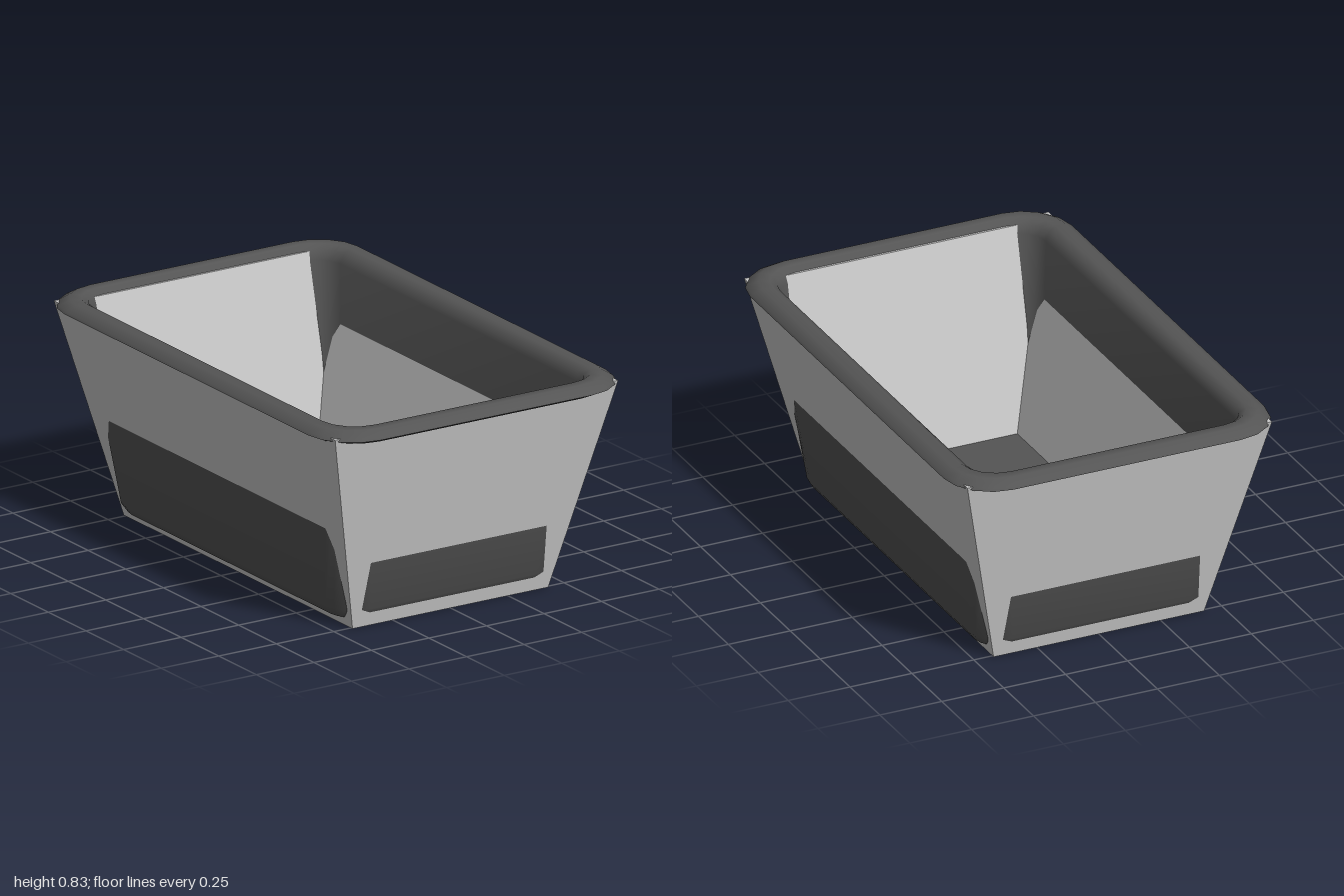
import * as THREE from 'three';
import { toCreasedNormals } from 'three/addons/utils/BufferGeometryUtils.js';

// Closed loop of points round a rectangle with rounded corners
function ring([hx, hz, y, r], segs) {
  const pts = [];
  const corners = [[1, 1], [-1, 1], [-1, -1], [1, -1]];
  corners.forEach(([sx, sz], k) => {
    for (let s = 0; s <= segs; s++) {
      const a = (k + (segs ? s / segs : 0)) * Math.PI / 2;
      pts.push(sx * (hx - r) + r * Math.cos(a), y, sz * (hz - r) + r * Math.sin(a));
    }
  });
  return pts;
}

// Skin over a list of sections [halfWidth, halfLength, height, cornerRadius]
function loft(sections, segs, crease) {
  const n = 4 * (segs + 1);
  const pos = sections.flatMap((s) => ring(s, segs));
  const index = [];
  for (let i = 0; i < sections.length - 1; i++) {
    for (let j = 0; j < n; j++) {
      const a = i * n + j, c = i * n + (j + 1) % n;
      index.push(a, a + n, c, a + n, c + n, c);
    }
  }
  const geo = new THREE.BufferGeometry();
  geo.setAttribute('position', new THREE.Float32BufferAttribute(pos, 3));
  geo.setIndex(index);
  return toCreasedNormals(geo, crease);
}

export function createModel() {
  const group = new THREE.Group();
  const add = (name, geo, color) => {
    const mesh = new THREE.Mesh(geo, new THREE.MeshStandardMaterial({ color }));
    mesh.name = name;
    group.add(mesh);
  };

  // Tapered open box with thick, sharp-cornered walls
  add('outerBox', loft([
    [0, 0, 0, 0],
    [0.425, 0.76, 0, 0],
    [0.615, 0.935, 0.81, 0],
    [0.57, 0.89, 0.81, 0],
    [0.375, 0.705, 0.04, 0],
    [0, 0, 0.04, 0],
  ], 0, 0.3), 0xcccccc);

  // Rounded tub that pushes through the box walls low down, with a rolled rim
  add('linerAndRim', loft([
    [0, 0, 0.02, 0],
    [0.42, 0.72, 0.02, 0.08],
    [0.455, 0.76, 0.035, 0.1],
    [0.48, 0.782, 0.07, 0.12],
    [0.52, 0.845, 0.42, 0.12],
    [0.561, 0.91, 0.78, 0.13],
    [0.61, 0.96, 0.78, 0.17],
    [0.65, 1, 0.8, 0.19],
    [0.645, 0.995, 0.81, 0.19],
    [0.61, 0.96, 0.832, 0.17],
    [0.57, 0.92, 0.832, 0.14],
    [0.543, 0.9, 0.815, 0.12],
    [0.53, 0.892, 0.78, 0.11],
    [0.455, 0.765, 0.06, 0.1],
    [0, 0, 0.06, 0],
  ], 4, 0.8), 0x555555);

  return group;
}
